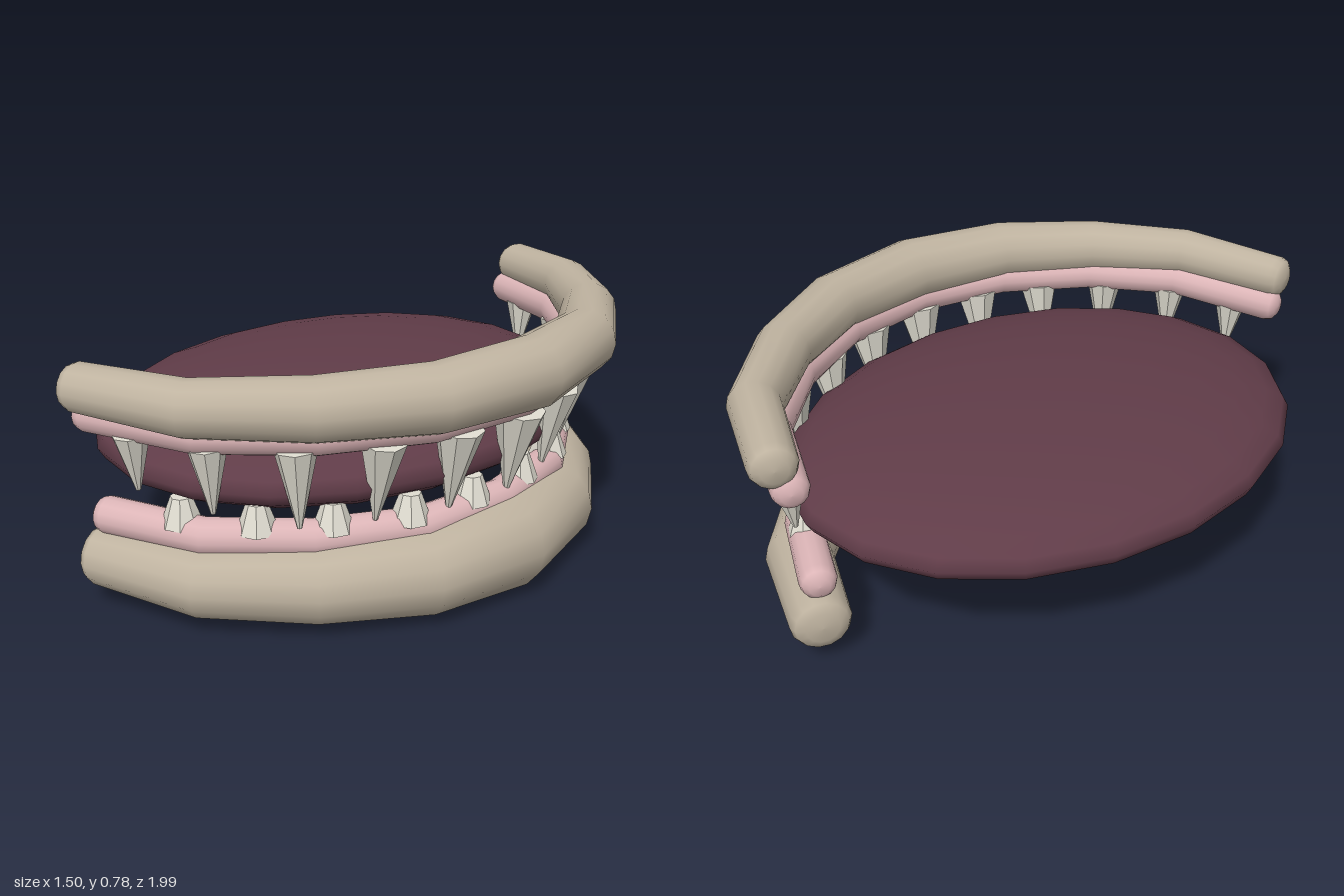
import * as THREE from 'three';

const mat = (name, color, opts = {}) => {
  const m = new THREE.MeshStandardMaterial({ color, ...opts });
  m.name = name;
  return m;
};

// Half of a jaw curve from the middle to the end, mirrored into a full arch: [x, z, radius]
function archStations(half, backShift) {
  const back = half.slice(1).reverse().map(([x, z, r]) => [x, -z, r]);
  back[0][0] += backShift;
  return [...back, ...half];
}

// Round bar swept through the stations, with shallow domed ends
function archBar(stations, y, sides = 14) {
  const up = new THREE.Vector3(0, 1, 0);
  const pts = stations.map(([x, z]) => new THREE.Vector3(x, y, z));
  const last = pts.length - 1;
  const rings = [];
  const addRing = (i, push, scale) => {
    const t = pts[Math.min(i + 1, last)].clone().sub(pts[Math.max(i - 1, 0)]).normalize();
    const n = up.clone().cross(t);
    const c = pts[i].clone().addScaledVector(t, push);
    const r = stations[i][2] * scale;
    rings.push(Array.from({ length: sides }, (_, j) => {
      const a = (j / sides) * Math.PI * 2;
      return c.clone().addScaledVector(n, r * Math.cos(a)).addScaledVector(up, r * Math.sin(a));
    }));
  };
  const dome = [[0.022, 0.87], [0.035, 0.55], [0.038, 0.001]];
  [...dome].reverse().forEach(([d, s]) => addRing(0, -d, s));
  pts.forEach((_, i) => addRing(i, 0, 1));
  dome.forEach(([d, s]) => addRing(last, d, s));

  const index = [];
  for (let i = 0; i < rings.length - 1; i++) {
    for (let j = 0; j < sides; j++) {
      const k = (j + 1) % sides;
      const a = i * sides + j, b = i * sides + k;
      index.push(a, b, a + sides, b, b + sides, a + sides);
    }
  }
  const g = new THREE.BufferGeometry().setFromPoints(rings.flat());
  g.setIndex(index);
  g.computeVertexNormals();
  return g;
}

// Tapered faceted tooth between two points
function tooth(from, to, rFrom, rTo, material) {
  const dir = to.clone().sub(from);
  const m = new THREE.Mesh(new THREE.CylinderGeometry(rTo, rFrom, dir.length(), 8), material);
  m.quaternion.setFromUnitVectors(new THREE.Vector3(0, 1, 0), dir.clone().normalize());
  m.position.copy(from).add(to).multiplyScalar(0.5);
  return m;
}

export function createModel() {
  const group = new THREE.Group();
  const skin = mat('tan lip', 0xbfb3a0);
  const gum = mat('pink gum', 0xdcb5b7);
  const flesh = mat('dark mouth flesh', 0x603c48);
  const ivory = mat('ivory tooth', 0xe0ddd1, { flatShading: true });
  const add = (name, geometry, material) => {
    const m = new THREE.Mesh(geometry, material);
    m.name = name;
    group.add(m);
    return m;
  };

  // Flattened mouth interior
  const mouth = add('mouthInterior', new THREE.SphereGeometry(1, 20, 14), flesh);
  mouth.scale.set(0.665, 0.155, 0.84);
  mouth.position.set(-0.085, 0.43, 0);

  // Lips and gums
  add('upperLip', archBar(archStations([
    [0.64, 0, 0.105], [0.58, 0.335, 0.097], [0.41, 0.61, 0.088], [0.17, 0.83, 0.079], [-0.16, 0.93, 0.07],
  ], 0.04), 0.687), skin);
  add('upperGum', archBar(archStations([
    [0.605, 0, 0.055], [0.55, 0.31, 0.055], [0.39, 0.58, 0.055], [0.16, 0.79, 0.055], [-0.17, 0.895, 0.055],
  ], 0.04), 0.602), gum);
  add('lowerLip', archBar(archStations([
    [0.57, 0, 0.147], [0.52, 0.305, 0.13], [0.36, 0.56, 0.115], [0.13, 0.77, 0.102], [-0.2, 0.865, 0.09],
  ], 0.04), 0.15), skin);
  add('lowerGum', archBar(archStations([
    [0.545, 0, 0.055], [0.5, 0.29, 0.055], [0.34, 0.55, 0.055], [0.12, 0.75, 0.055], [-0.18, 0.85, 0.055],
  ], 0.04), 0.277), gum);

  // Long pointed upper teeth: [x, z, tip height, radius]
  const upper = new THREE.Group();
  upper.name = 'upperTeeth';
  const fangs = [
    [0.605, 0, 0.31, 0.075], [0.57, 0.22, 0.315, 0.07], [0.485, 0.43, 0.325, 0.066],
    [0.355, 0.625, 0.335, 0.06], [0.178, 0.775, 0.37, 0.056], [-0.035, 0.86, 0.4, 0.053],
  ];
  // Short blunt lower teeth: [x, z]
  const lower = new THREE.Group();
  lower.name = 'lowerTeeth';
  const stubs = [[0.53, 0.11], [0.485, 0.32], [0.37, 0.505], [0.23, 0.655], [0.05, 0.77]];
  for (const s of [1, -1]) {
    for (const [x, z, tip, r] of fangs) {
      if (z === 0 && s < 0) continue;
      upper.add(tooth(new THREE.Vector3(x, 0.57, z * s),
        new THREE.Vector3(x - 0.035 * (x > 0.4 ? 1 : 0), tip, z * s * 0.985), r, 0.007, ivory));
    }
    for (const [x, z] of stubs) {
      lower.add(tooth(new THREE.Vector3(x, 0.3, z * s),
        new THREE.Vector3(x, 0.383, z * s), 0.06, 0.03, ivory));
    }
  }
  group.add(upper, lower);
  return group;
}
